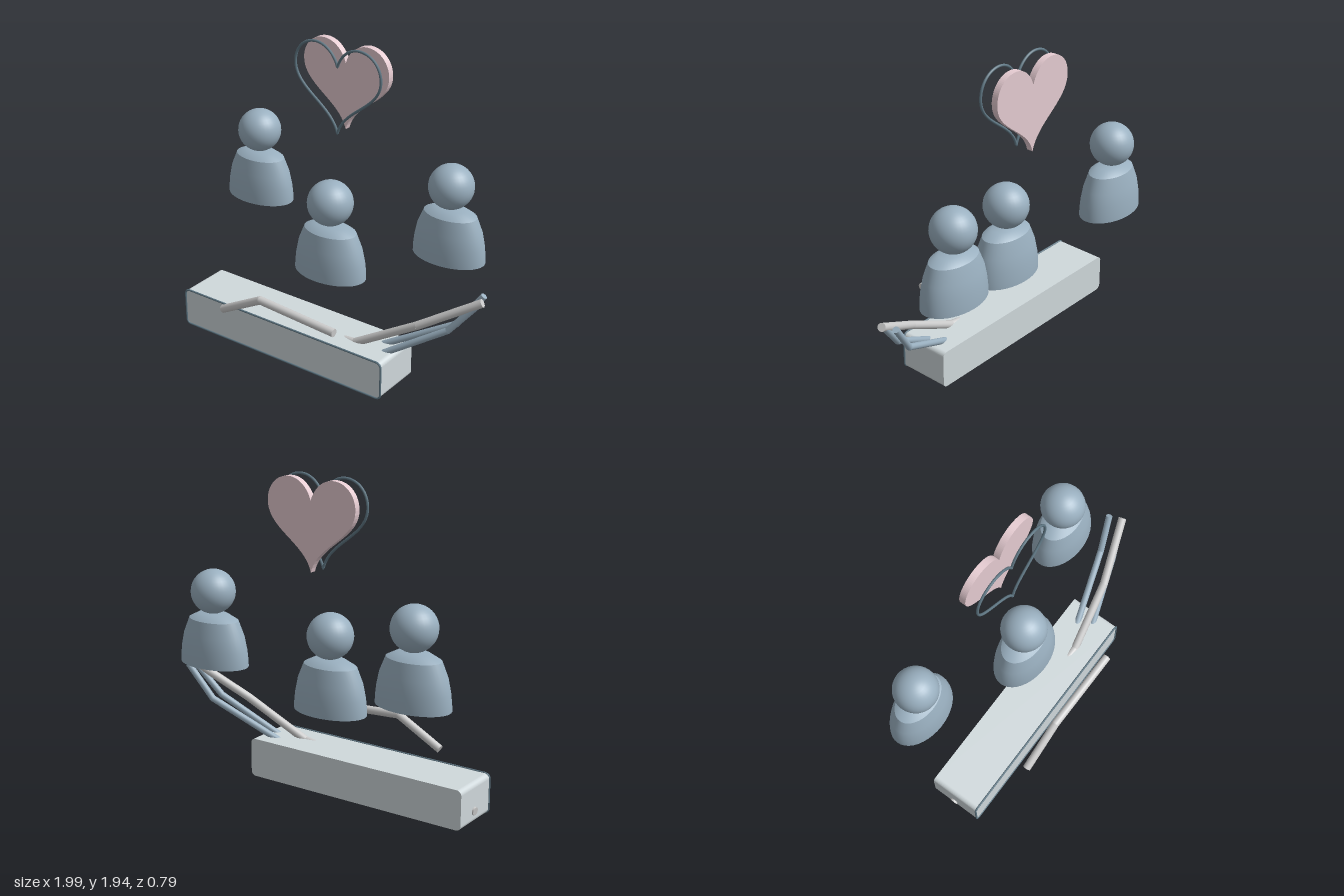
import * as THREE from 'three';

const mat = (color) => new THREE.MeshStandardMaterial({ color });
const blue = mat(0x9ab0c0), steel = mat(0x607885), pink = mat(0xe6ccd2), pale = mat(0xd0d9dc), grey = mat(0xcccccc);

function add(parent, name, geometry, material, x = 0, y = 0, z = 0) {
  const mesh = new THREE.Mesh(geometry, material);
  mesh.name = name;
  mesh.position.set(x, y, z);
  parent.add(mesh);
  return mesh;
}

// Round bar along straight pieces, with ball joints at the bends
function bentRod(name, points, radius, material) {
  const rod = new THREE.Group();
  rod.name = name;
  const p = points.map((a) => new THREE.Vector3(...a));
  for (let i = 1; i < p.length; i++) {
    const dir = p[i].clone().sub(p[i - 1]);
    const mid = p[i].clone().add(p[i - 1]).multiplyScalar(0.5);
    const piece = add(rod, 'rodPiece', new THREE.CylinderGeometry(radius, radius, dir.length(), 16), material, mid.x, mid.y, mid.z);
    piece.quaternion.setFromUnitVectors(new THREE.Vector3(0, 1, 0), dir.normalize());
    if (i < p.length - 1) add(rod, 'rodJoint', new THREE.SphereGeometry(radius, 16, 10), material, p[i].x, p[i].y, p[i].z);
  }
  return rod;
}

// Closed wire following a flat shape
function wire(shape, radius, segments) {
  const pts = shape.getSpacedPoints(segments).map((p) => new THREE.Vector3(p.x, p.y, 0));
  if (pts[0].distanceTo(pts[pts.length - 1]) < 1e-4) pts.pop();
  const curve = new THREE.CatmullRomCurve3(pts, true, 'centripetal');
  return new THREE.TubeGeometry(curve, segments * 2, radius, 8, true);
}

function heartShape() {
  const s = new THREE.Shape();
  s.moveTo(0, 1.81);
  s.bezierCurveTo(0.02, 1.88, 0.08, 1.935, 0.15, 1.935);
  s.bezierCurveTo(0.24, 1.935, 0.298, 1.865, 0.298, 1.785);
  s.bezierCurveTo(0.298, 1.62, 0.04, 1.57, 0, 1.405);
  s.bezierCurveTo(-0.04, 1.57, -0.298, 1.62, -0.298, 1.785);
  s.bezierCurveTo(-0.298, 1.865, -0.24, 1.935, -0.15, 1.935);
  s.bezierCurveTo(-0.08, 1.935, -0.02, 1.88, 0, 1.81);
  return s;
}

function roundedRect(x0, y0, x1, y1, r) {
  const s = new THREE.Shape();
  s.absarc(x1 - r, y0 + r, r, -Math.PI / 2, 0);
  s.absarc(x1 - r, y1 - r, r, 0, Math.PI / 2);
  s.absarc(x0 + r, y1 - r, r, Math.PI / 2, Math.PI);
  s.absarc(x0 + r, y0 + r, r, Math.PI, Math.PI * 1.5);
  s.closePath();
  return s;
}

// Bust: oval lathed torso with a ball head, standing on its flat base
function bust(name, x, y, z, scale) {
  const g = new THREE.Group();
  g.name = name;
  const side = [[0.23, 0], [0.229, 0.035], [0.222, 0.1], [0.205, 0.18], [0.167, 0.272]];
  const parts = {
    torso: side,
    shoulders: [[0.167, 0.272], [0.1, 0.307], [0, 0.307]],
    torsoBase: [[0, 0], [0.23, 0]],
  };
  for (const [part, profile] of Object.entries(parts)) {
    const geo = new THREE.LatheGeometry(profile.map((p) => new THREE.Vector2(...p)), 40);
    add(g, part, geo, blue).scale.z = 0.64;
  }
  add(g, 'head', new THREE.SphereGeometry(0.133, 32, 20), blue, 0, 0.439, 0);
  g.position.set(x, y, z);
  g.scale.setScalar(scale);
  return g;
}

export function createModel() {
  const model = new THREE.Group();
  model.name = 'heartAndFigures';

  // Long block with a thin rim round its front face
  const block = roundedRect(-0.97, 0.008, 0.513, 0.25, 0.03);
  add(model, 'block', new THREE.ExtrudeGeometry(block, { depth: 0.322, bevelEnabled: false, curveSegments: 8 }), pale, 0, 0, -0.05);
  add(model, 'blockRim', wire(block, 0.006, 200), steel, 0, 0, 0.272);

  // Heart plate and the wire outline in front of it
  const heart = heartShape();
  add(model, 'heartPlate', new THREE.ExtrudeGeometry(heart, { depth: 0.04, bevelEnabled: false, curveSegments: 20 }), pink, -0.065, 0, -0.22);
  add(model, 'heartOutline', wire(heart, 0.008, 120), steel, -0.065, 0, -0.1);

  // Three people
  model.add(
    bust('rightFigure', -0.768, 0.765, -0.25, 1),
    bust('leftFigure', 0.622, 0.765, -0.25, 1),
    bust('middleFigure', -0.063, 0.535, -0.027, 1.04),
  );

  // Bent bars: one in front, three rising out of the block
  model.add(
    bentRod('frontRod', [[-0.578, 0.286, 0.37], [-0.285, 0.444, 0.37], [0.255, 0.412, 0.37]], 0.025, grey),
    bentRod('longRod', [[-0.98, 0.08, 0.1], [0.24, 0.235, 0.145], [0.63, 0.455, 0.08], [0.98, 0.665, -0.04]], 0.025, grey),
    bentRod('rearRod', [[0.36, 0.22, 0.065], [0.8, 0.455, -0.065], [0.945, 0.665, -0.115]], 0.02, blue),
    bentRod('lowerRod', [[0.42, 0.22, 0.145], [0.8, 0.455, 0.025], [0.97, 0.665, -0.04]], 0.02, blue),
  );
  return model;
}
